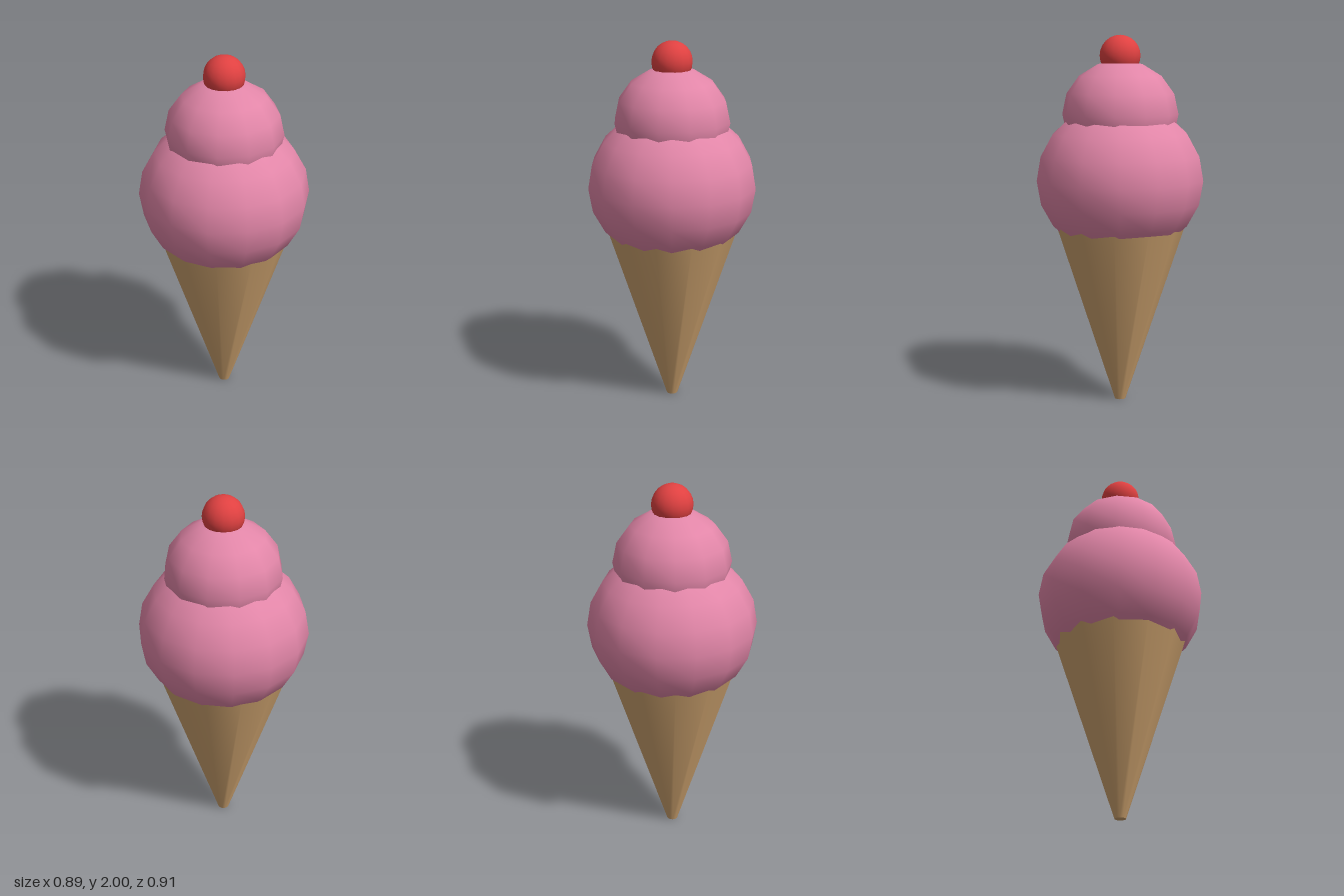
import * as THREE from 'three';

const material = (name, color) => {
  const m = new THREE.MeshStandardMaterial({ color });
  m.name = name;
  return m;
};

export function createModel() {
  const group = new THREE.Group();
  group.name = 'iceCreamCone';
  const wafer = material('wafer', 0xcda26e);
  const pink = material('strawberry', 0xe286a8);
  const red = material('cherryRed', 0xe04141);

  // A ball, optionally flattened, with one vertex facing the front
  const addBall = (name, mat, radius, y, around, rows, squash = 1) => {
    const ball = new THREE.Mesh(new THREE.SphereGeometry(radius, around, rows), mat);
    ball.name = name;
    ball.position.y = y;
    ball.scale.y = squash;
    ball.rotation.y = Math.PI / 2;
    group.add(ball);
  };

  // Wafer cone with a blunt tip; its rim sits inside the lower scoop
  const cone = new THREE.Mesh(new THREE.CylinderGeometry(0.36, 0.03, 1, 12), wafer);
  cone.name = 'cone';
  cone.position.y = 0.5;
  group.add(cone);

  // Two stacked scoops and the cherry on top
  addBall('lowerScoop', pink, 0.455, 1.23, 14, 10, 0.92);
  addBall('upperScoop', pink, 0.313, 1.58, 12, 8, 0.92);
  addBall('cherry', red, 0.109, 1.891, 16, 12);

  return group;
}
